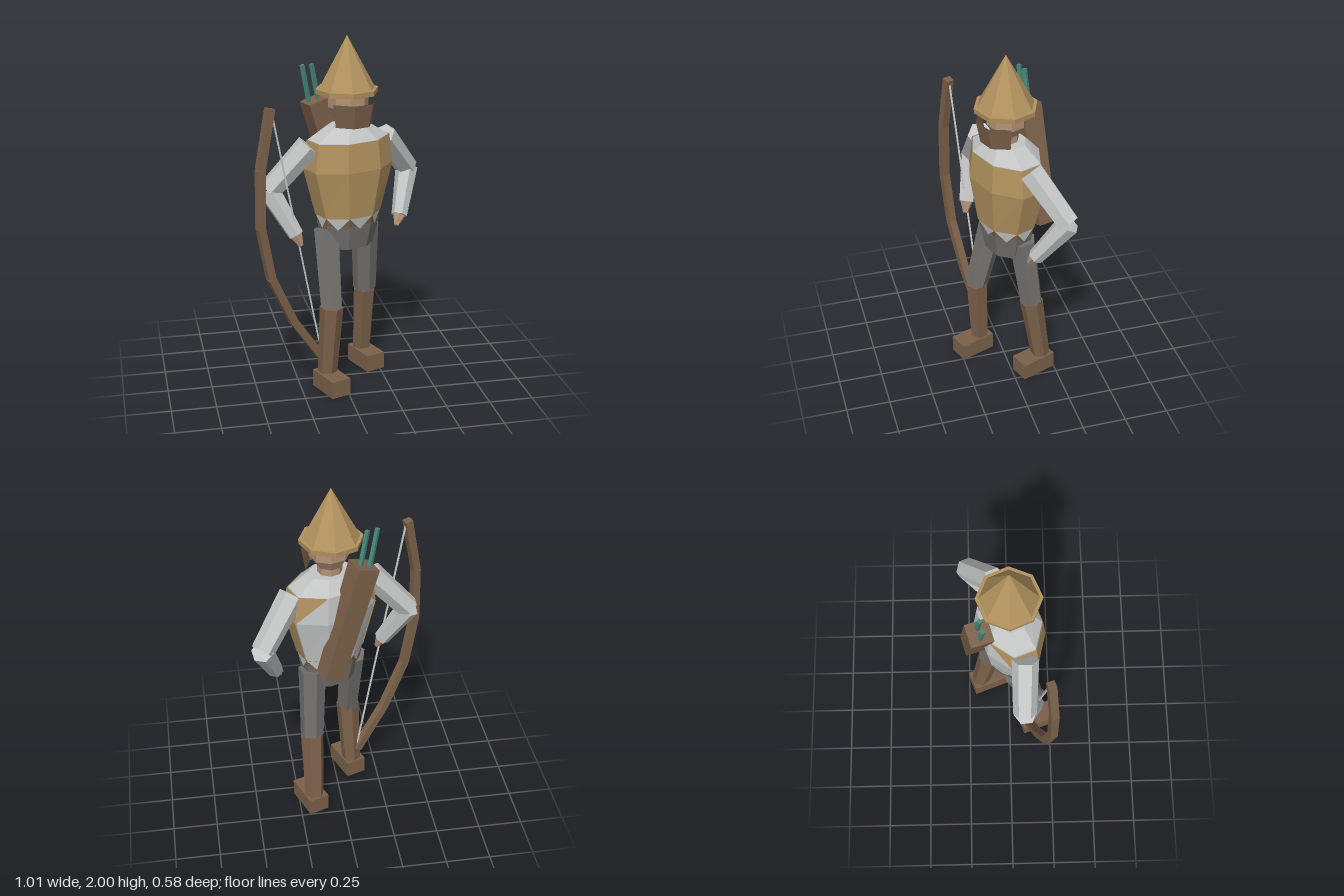
import * as THREE from 'three';

const mat = (name, color, side = THREE.FrontSide) => {
  const m = new THREE.MeshStandardMaterial({ color, flatShading: true, side });
  m.name = name;
  return m;
};

export function createModel() {
  const model = new THREE.Group();
  model.name = 'archer';
  const straw = mat('straw tan', 0xb3935f, THREE.DoubleSide);
  const brown = mat('leather brown', 0x7b614a, THREE.DoubleSide);
  const shirt = mat('shirt grey', 0xc2c4c4, THREE.DoubleSide);
  const trousers = mat('trouser grey', 0x72706d);
  const skin = mat('skin', 0xb59377);
  const teal = mat('arrow teal', 0x468a7c);

  const add = (parent, name, geo, material) => {
    const mesh = new THREE.Mesh(geo, material);
    mesh.name = name;
    parent.add(mesh);
    return mesh;
  };

  // Tapered prism running from point a to point b
  const UP = new THREE.Vector3(0, 1, 0);
  const limb = (name, a, b, r0, r1, sides, material, roll = 0) => {
    const A = new THREE.Vector3(...a), B = new THREE.Vector3(...b);
    const dir = B.clone().sub(A);
    const geo = new THREE.CylinderGeometry(r1, r0, dir.length(), sides).rotateY(roll);
    const mesh = add(model, name, geo, material);
    mesh.position.copy(A).add(B).multiplyScalar(0.5);
    mesh.quaternion.setFromUnitVectors(UP, dir.normalize());
    return mesh;
  };

  // Eight-sided elliptical band between two rings [y, rx, rz]
  const E = Math.PI / 8;
  const band = (lo, hi, open = true, start = -5, faces = 8, grow = 1) => {
    const geo = new THREE.CylinderGeometry(1, 1, 1, faces, 1, open, start * E, faces * 2 * E);
    const p = geo.attributes.position;
    for (let i = 0; i < p.count; i++) {
      const [y, rx, rz] = p.getY(i) > 0 ? hi : lo;
      p.setXYZ(i, p.getX(i) * rx * grow, y, p.getZ(i) * rz * grow);
    }
    return geo;
  };
  const point = ([y, rx, rz], k, grow = 1) => [Math.sin(k * E) * rx * grow, y, Math.cos(k * E) * rz * grow];
  const triangles = (...pts) => {
    const geo = new THREE.BufferGeometry();
    geo.setAttribute('position', new THREE.Float32BufferAttribute(pts.flat(), 3));
    geo.computeVertexNormals();
    return geo;
  };

  // Upper body, turned towards the left
  const YAW = 0.358;
  const body = new THREE.Group();
  body.name = 'upperBody';
  body.position.x = 0.045;
  body.rotation.y = YAW;
  model.add(body);

  const hem = [0.94, 0.18, 0.13], waist = [1.01, 0.19, 0.145];
  const chest = [1.28, 0.262, 0.178], shoulder = [1.44, 0.24, 0.163], collar = [1.51, 0.125, 0.1];
  add(body, 'shirtLower', band(waist, chest), shirt);
  add(body, 'shirtUpper', band(chest, shoulder), shirt);
  add(body, 'shirtCollar', band(shoulder, collar, false), shirt);
  add(body, 'vestLower', band(waist, chest, true, -5, 5, 1.03), straw);
  add(body, 'vestUpper', band(chest, shoulder, true, -5, 5, 1.03), straw);
  for (const s of [-1, 1]) {
    add(body, 'vestBackFlap', triangles(point(shoulder, 5 * s, 1.02), point(shoulder, 7 * s, 1.02), point(chest, 5 * s, 1.02)), straw);
  }

  // Leather hem with pointed shirt tails
  add(body, 'beltHem', band(hem, waist, false), brown);
  const tails = [];
  for (let k = -7; k < 8; k += 2) {
    const a = point(waist, k, 1.01), b = point(waist, k + 2, 1.01);
    const c = point(hem, k, 1.02), d = point(hem, k + 2, 1.02);
    tails.push(a, c.map((v, i) => (v + d[i]) / 2), b);
  }
  add(body, 'shirtTails', triangles(...tails), shirt);
  add(body, 'hips', band([0.82, 0.15, 0.11], [0.96, 0.185, 0.135], false), trousers);

  // Neck, head, face scarf and pointed hat
  add(body, 'neck', band([1.48, 0.068, 0.068], [1.57, 0.068, 0.068], false), skin);
  add(body, 'jaw', band([1.55, 0.07, 0.07], [1.61, 0.112, 0.105]), skin);
  add(body, 'head', band([1.61, 0.112, 0.105], [1.72, 0.112, 0.105], false), skin);
  add(body, 'faceScarf', band([1.515, 0.125, 0.145], [1.645, 0.148, 0.17], true, -3, 3), brown);

  const hat = new THREE.Group();
  hat.name = 'hat';
  hat.position.x = 0.037;
  model.add(hat);
  add(hat, 'hatCone', new THREE.CylinderGeometry(0, 0.163, 0.3, 8).translate(0, 1.85, 0), straw);
  add(hat, 'hatBrim', new THREE.CylinderGeometry(0.174, 0.172, 0.028, 8).translate(0, 1.699, 0), straw);

  // Arms: shoulder, elbow, wrist, fingertip
  const arms = [
    ['right', [-0.19, 1.42, 0.08], [-0.41, 1.18, 0.075], [-0.275, 0.94, 0.145], [-0.25, 0.88, 0.16]],
    ['left', [0.26, 1.42, -0.075], [0.44, 1.18, -0.23], [0.36, 0.94, -0.075], [0.335, 0.89, -0.045]],
  ];
  for (const [side, a, b, c, d] of arms) {
    limb(side + 'UpperArm', a, b, 0.072, 0.064, 6, shirt);
    limb(side + 'Forearm', b, c, 0.064, 0.045, 6, shirt);
    limb(side + 'Hand', c, d, 0.038, 0.014, 6, skin);
  }

  // Legs: hip, knee, ankle, boot centre
  const legs = [
    ['right', [-0.085, 0.93, 0.035], [-0.078, 0.5, 0.142], [-0.1, 0.08, 0.122], [-0.085, 0.05, 0.17]],
    ['left', [0.155, 0.92, -0.06], [0.168, 0.5, -0.115], [0.167, 0.08, -0.178], [0.183, 0.05, -0.13]],
  ];
  for (const [side, a, b, c, d] of legs) {
    limb(side + 'Thigh', a, b, 0.078, 0.066, 6, trousers, YAW);
    limb(side + 'Shin', b, c, 0.067, 0.055, 6, brown, YAW);
    const boot = add(model, side + 'Boot', new THREE.BoxGeometry(0.118, 0.1, 0.213), brown);
    boot.position.set(...d);
    boot.rotation.y = YAW;
  }

  // Quiver and arrows on the back
  limb('quiver', [0.075, 0.965, -0.205], [-0.115, 1.62, -0.155], 0.078, 0.088, 4, brown, Math.PI / 4 + 0.3);
  limb('arrow', [-0.14, 1.58, -0.155], [-0.185, 1.82, -0.135], 0.014, 0.014, 4, teal);
  limb('arrow', [-0.085, 1.58, -0.17], [-0.13, 1.82, -0.15], 0.014, 0.014, 4, teal);

  // Bow, lying in one slanted upright plane, with its string
  const onBow = (x, y) => [x, y, 0.225 - 0.36 * (x + 0.48)];
  const curve = [[-0.415, 1.665], [-0.475, 1.34], [-0.48, 1.02], [-0.425, 0.72], [-0.3, 0.44], [-0.13, 0.18]];
  for (let i = 0; i < curve.length - 1; i++) {
    limb('bowSegment', onBow(...curve[i]), onBow(...curve[i + 1]), 0.031, 0.031, 4, brown, Math.PI / 4 + YAW);
  }
  limb('bowString', onBow(-0.405, 1.64), onBow(-0.13, 0.21), 0.007, 0.007, 4, shirt);

  return model;
}
